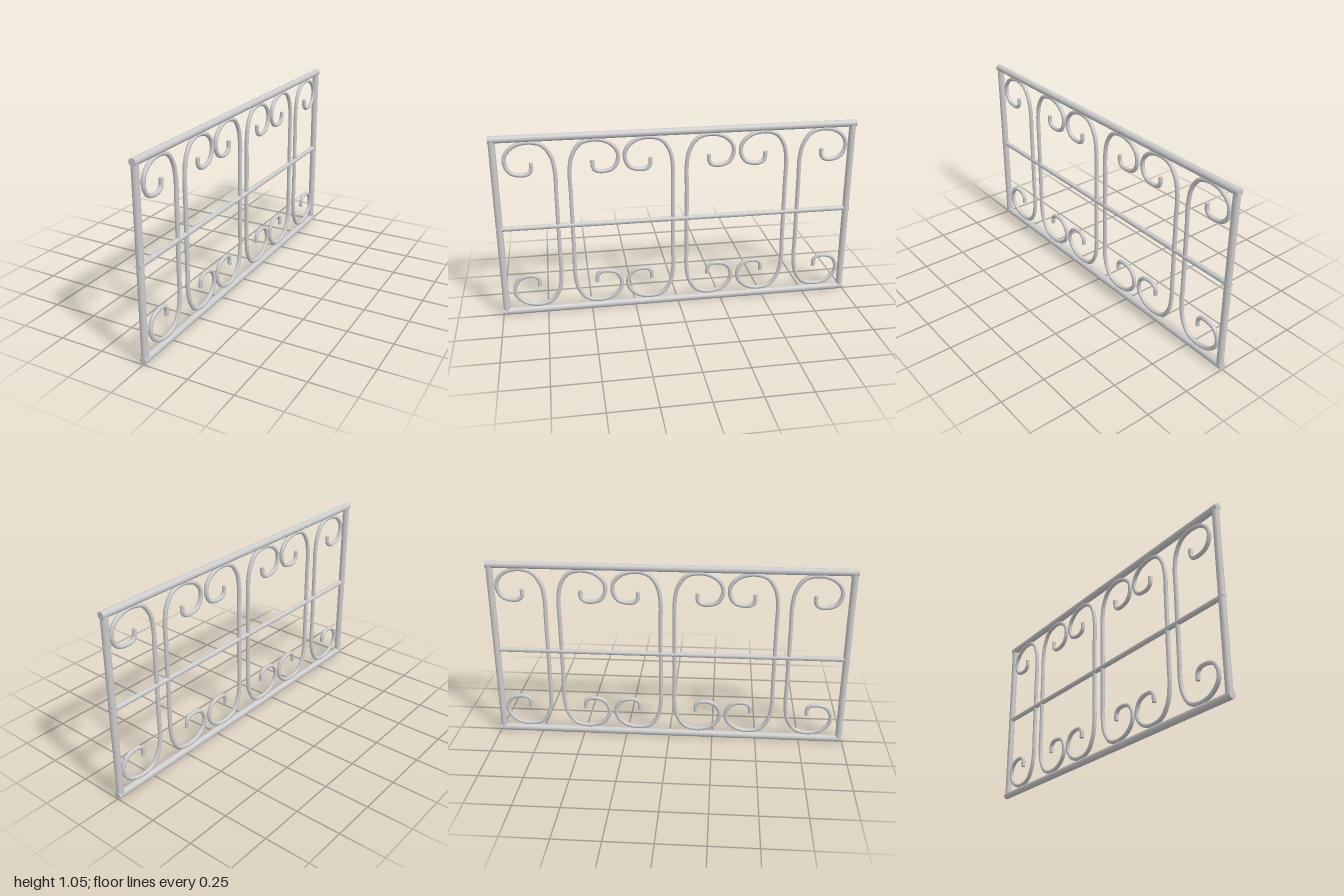
import * as THREE from 'three';

const material = new THREE.MeshStandardMaterial({ color: 0xcccccc });
const MID_Y = 0.527;

// Round bar running along z or y, centred at (0, y, z)
function bar(name, radius, length, axis, y, z) {
  const geometry = new THREE.CylinderGeometry(radius, radius, length, 20);
  if (axis === 'z') geometry.rotateX(Math.PI / 2);
  const mesh = new THREE.Mesh(geometry, material);
  mesh.name = name;
  mesh.position.set(0, y, z);
  return mesh;
}

// Upper half of a scroll: [distance from the spine, height], from the spine to the curl tip
const curl = [
  [0, 0.7], [0, 0.84], [0.016, 0.922], [0.06, 0.985], [0.13, 1.004], [0.205, 0.988],
  [0.253, 0.942], [0.26, 0.89], [0.234, 0.842], [0.19, 0.826], [0.145, 0.829],
  [0.125, 0.848], [0.122, 0.89],
];

// C-shaped scroll with a straight spine and a curl at each end; side is the z direction of the curls
function scroll(spineZ, side) {
  const radius = 0.0115;
  const upper = curl.map(([u, y]) => new THREE.Vector3(0, y, spineZ + side * u));
  const lower = upper.map((p) => new THREE.Vector3(0, 2 * MID_Y - p.y, p.z)).reverse();
  const path = new THREE.CatmullRomCurve3([...lower, ...upper], false, 'centripetal');
  const group = new THREE.Group();
  group.name = 'scroll';

  const tube = new THREE.Mesh(new THREE.TubeGeometry(path, 160, radius, 10), material);
  tube.name = 'scrollBar';
  group.add(tube);

  // Flat caps closing the two tips
  for (const t of [0, 1]) {
    const cap = new THREE.Mesh(new THREE.CircleGeometry(radius, 10), material);
    cap.name = 'scrollTip';
    const outward = path.getTangent(t).multiplyScalar(t ? 1 : -1);
    cap.quaternion.setFromUnitVectors(new THREE.Vector3(0, 0, 1), outward);
    cap.position.copy(path.getPoint(t));
    group.add(cap);
  }
  return group;
}

export function createModel() {
  const model = new THREE.Group();
  model.name = 'railingPanel';

  // Frame
  model.add(bar('bottomRail', 0.0195, 2, 'z', 0.0195, 0));
  model.add(bar('topRail', 0.0195, 2, 'z', 1.0275, 0));
  model.add(bar('middleRail', 0.014, 1.998, 'z', 0.523, 0));
  for (const s of [1, -1]) {
    model.add(bar(s > 0 ? 'frontPost' : 'backPost', 0.0185, 1.008, 'y', 0.5235, s * 0.981));
  }

  // Scrolls in back-to-back pairs
  for (const z of [0.626, -0.009, -0.648]) {
    model.add(scroll(z + 0.039, 1), scroll(z - 0.039, -1));
  }
  return model;
}
